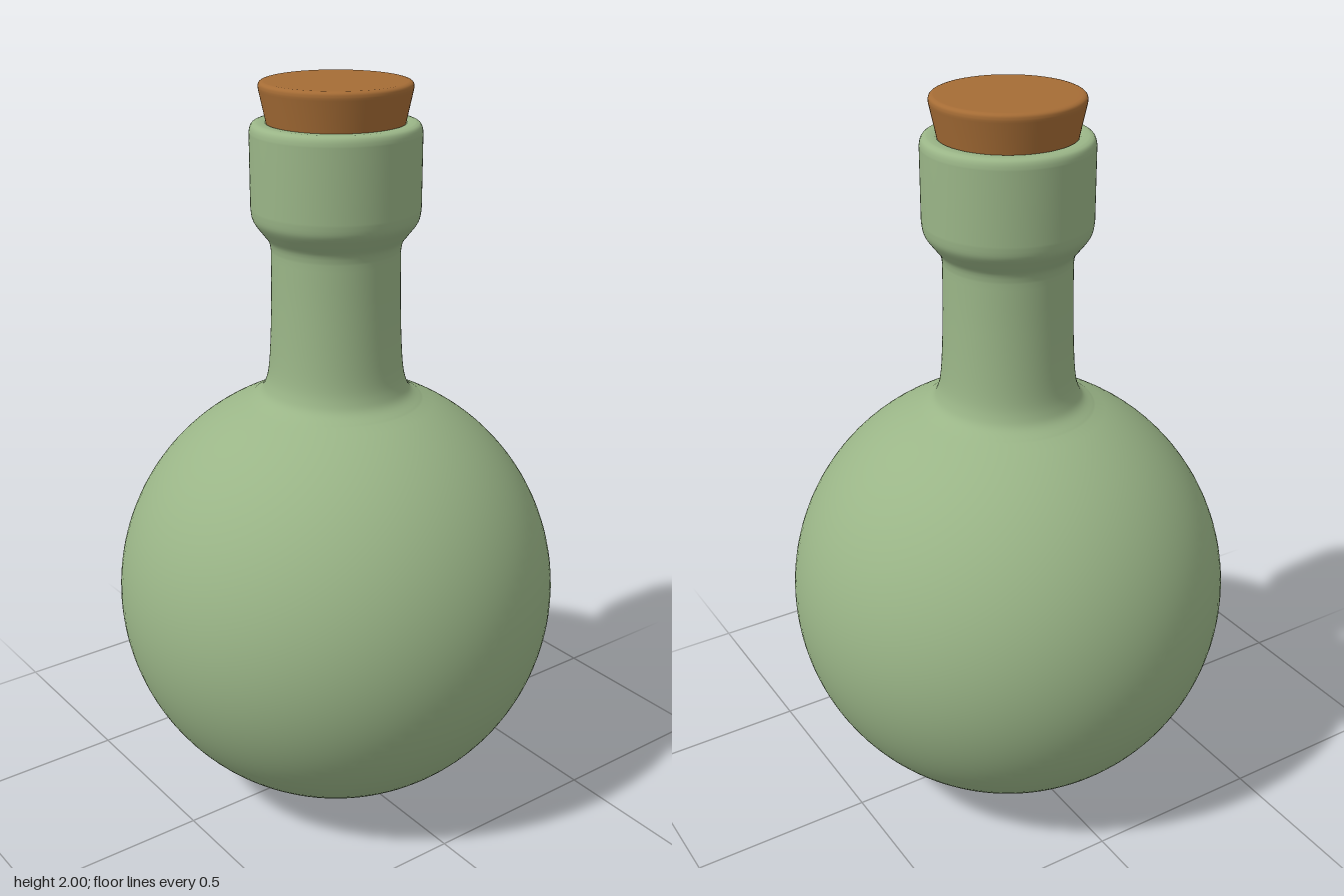
import * as THREE from 'three';

const v = (x, y) => new THREE.Vector2(x, y);

// Smooth run of profile points through a few control points
const smooth = (pts, n) => new THREE.SplineCurve(pts.map(p => v(...p))).getPoints(n);

function lathe(name, points, color) {
  const mesh = new THREE.Mesh(
    new THREE.LatheGeometry(points, 96),
    new THREE.MeshStandardMaterial({ color, side: THREE.DoubleSide })
  );
  mesh.name = name;
  return mesh;
}

export function createModel() {
  const group = new THREE.Group();
  group.name = 'corkedFlask';

  // Round body, from the bottom pole up to the shoulder
  const R = 0.605;
  const shoulder = Math.PI - Math.asin(0.235 / R);
  const profile = [];
  for (let i = 0; i <= 56; i++) {
    const a = shoulder * i / 56;
    profile.push(v(R * Math.sin(a), R - R * Math.cos(a)));
  }

  // Flared neck, then the collar with its rounded rim
  profile.push(
    ...smooth([[0.235, 1.163], [0.205, 1.183], [0.19, 1.208], [0.18, 1.25], [0.174, 1.33], [0.17, 1.45], [0.169, 1.57]], 28).slice(1),
    ...smooth([[0.169, 1.57], [0.174, 1.595], [0.19, 1.617], [0.209, 1.642], [0.217, 1.66], [0.22, 1.685]], 16).slice(1),
    v(0.22, 1.78),
    ...smooth([[0.22, 1.872], [0.218, 1.885], [0.212, 1.895], [0.2, 1.899]], 8),
    // Mouth and inner wall
    v(0.18, 1.899), v(0.172, 1.893), v(0.165, 1.86), v(0.155, 1.76)
  );
  group.add(lathe('flask', profile, 0x9ab587));

  // Tapered stopper with a softened top edge
  const cork = [
    v(0, 1.76), v(0.15, 1.76), v(0.15, 1.76),
    v(0.176, 1.895), v(0.194, 1.978),
    ...smooth([[0.195, 1.984], [0.194, 1.993], [0.189, 1.998], [0.182, 2]], 8),
    v(0.17, 2), v(0, 2)
  ];
  group.add(lathe('cork', cork, 0xa56c35));

  return group;
}
